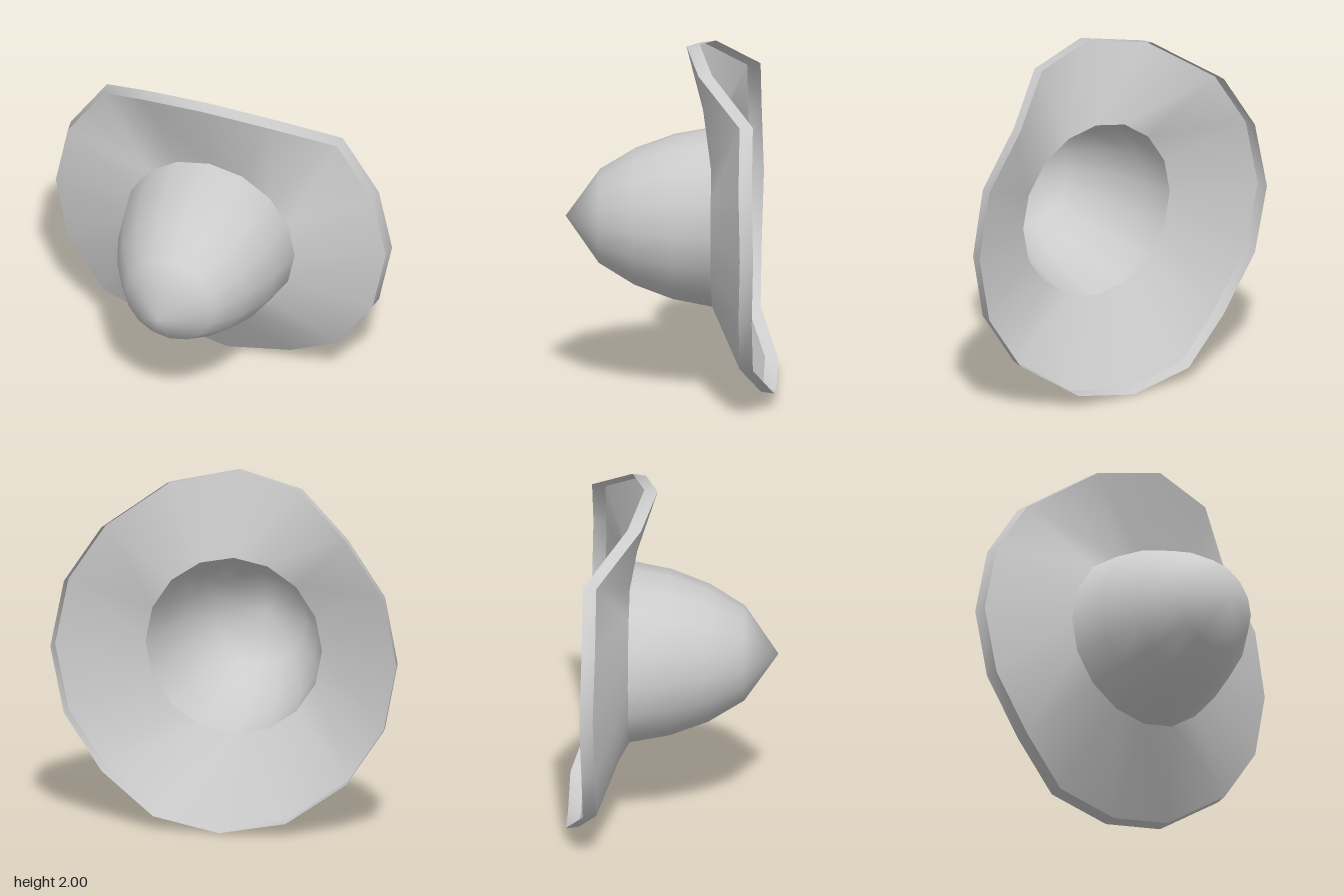
import * as THREE from 'three';

const SIDES = 16;
const CENTER_Y = 1;

// Outer edge of the brim: z per spoke from top (0) to bottom (8), mirrored left/right
const EDGE_Z = [-0.09, -0.17, -0.41, -0.41, -0.42, -0.41, -0.41, -0.52, -0.52];
const edgeZ = i => EDGE_Z[Math.min(i, SIDES - i)];

// Smooth open sheet through rings ordered from front to back; each ring is { r, z(i) }
function loft(name, rings) {
  const pos = [], index = [];
  for (const { r, z } of rings) {
    for (let i = 0; i < SIDES; i++) {
      const a = (i / SIDES) * Math.PI * 2;
      pos.push(r * Math.sin(a), CENTER_Y + r * Math.cos(a), z(i));
    }
  }
  for (let k = 0; k < rings.length - 1; k++) {
    for (let i = 0; i < SIDES; i++) {
      const j = (i + 1) % SIDES;
      const a = k * SIDES + i, b = k * SIDES + j, c = a + SIDES, d = b + SIDES;
      if (rings[k].r > 0.001) index.push(a, b, c);
      index.push(b, d, c);
    }
  }
  const geo = new THREE.BufferGeometry();
  geo.setAttribute('position', new THREE.Float32BufferAttribute(pos, 3));
  geo.setIndex(index);
  geo.computeVertexNormals();
  // All points of a closed tip share one normal
  if (rings[0].r <= 0.001) {
    for (let i = 0; i < SIDES; i++) geo.attributes.normal.setXYZ(i, 0, 0, 1);
  }
  const mat = new THREE.MeshStandardMaterial({ color: 0xcccccc, side: THREE.DoubleSide });
  const mesh = new THREE.Mesh(geo, mat);
  mesh.name = name;
  return mesh;
}

export function createModel() {
  const hat = new THREE.Group();
  hat.name = 'hat';

  // Hollow pointed crown, [radius, z]
  const crown = [[0, 0.59], [0.267, 0.4], [0.388, 0.2], [0.469, -0.02], [0.51, -0.24]];
  hat.add(loft('crown', crown.map(([r, z]) => ({ r, z: () => z }))));

  // Wavy brim, bent forward at the top and back at the bottom
  hat.add(loft('brim', [{ r: 0.51, z: () => -0.24 }, { r: 0.99, z: edgeZ }]));

  // Thin lip turned back around the brim
  hat.add(loft('brimLip', [{ r: 0.99, z: edgeZ }, { r: 1, z: i => edgeZ(i) - 0.075 }]));

  return hat;
}
